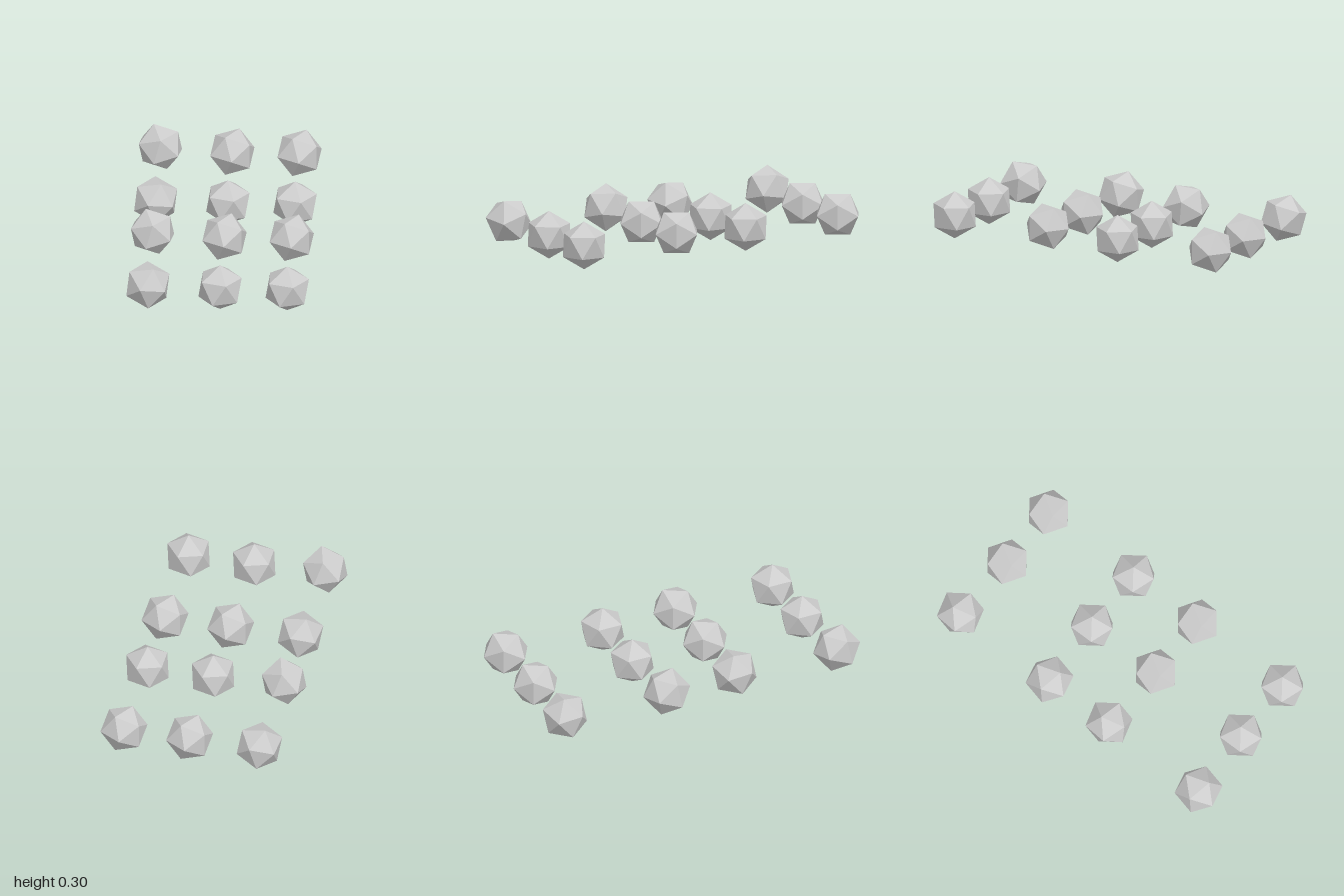
import * as THREE from 'three';

const R = 0.139;

// Orientation that sends +y to a pole direction and +x towards a ring vertex
function poleTurn(pole, toward) {
  const y = new THREE.Vector3(...pole).normalize();
  const x = new THREE.Vector3(...toward).addScaledVector(y, -y.dot(new THREE.Vector3(...toward))).normalize();
  const z = new THREE.Vector3().crossVectors(x, y);
  return new THREE.Quaternion().setFromRotationMatrix(new THREE.Matrix4().makeBasis(x, y, z));
}

// Icosahedron standing on a corner, with one upper ring corner at +x
function uprightIcosahedron() {
  const geo = new THREE.IcosahedronGeometry(R, 0);
  const t = (1 + Math.sqrt(5)) / 2;
  return geo.applyQuaternion(poleTurn([0, 1, t], [t, 0, 1]).invert());
}

export function createModel() {
  const group = new THREE.Group();
  const geo = uprightIcosahedron();
  const material = new THREE.MeshStandardMaterial({ color: 0xcccccc, flatShading: true });

  const straight = new THREE.Quaternion();
  const tilted = poleTurn([-0.28, 0.18, 0.94], [0.74, 0.02, 0.69]);
  const tipBack = new THREE.Quaternion().setFromAxisAngle(new THREE.Vector3(1, 0, 0), -Math.PI / 2);

  // Columns: the one at -x is tilted and sits slightly off the others
  const columns = [
    { x: -0.402, turn: tilted, dy: 0.015, dz: 0.017 },
    { x: 0.011, turn: straight, dy: 0, dz: 0 },
    { x: 0.396, turn: straight, dy: 0, dz: 0 },
  ];
  // Rows: every second one is tipped back a quarter turn
  const rows = [
    { z: 0.846, y: 0.14, tipped: false },
    { z: 0.226, y: 0.153, tipped: true },
    { z: -0.238, y: 0.14, tipped: false },
    { z: -0.856, y: 0.153, tipped: true },
  ];

  rows.forEach((row, r) => columns.forEach((col, c) => {
    const mesh = new THREE.Mesh(geo, material);
    mesh.name = `icosahedronRow${r + 1}Column${c + 1}`;
    const offset = new THREE.Vector3(0, col.dy, col.dz);
    mesh.quaternion.copy(col.turn);
    if (row.tipped) {
      offset.applyQuaternion(tipBack);
      mesh.quaternion.premultiply(tipBack);
    }
    mesh.position.set(col.x, row.y, row.z).add(offset);
    group.add(mesh);
  }));
  return group;
}
